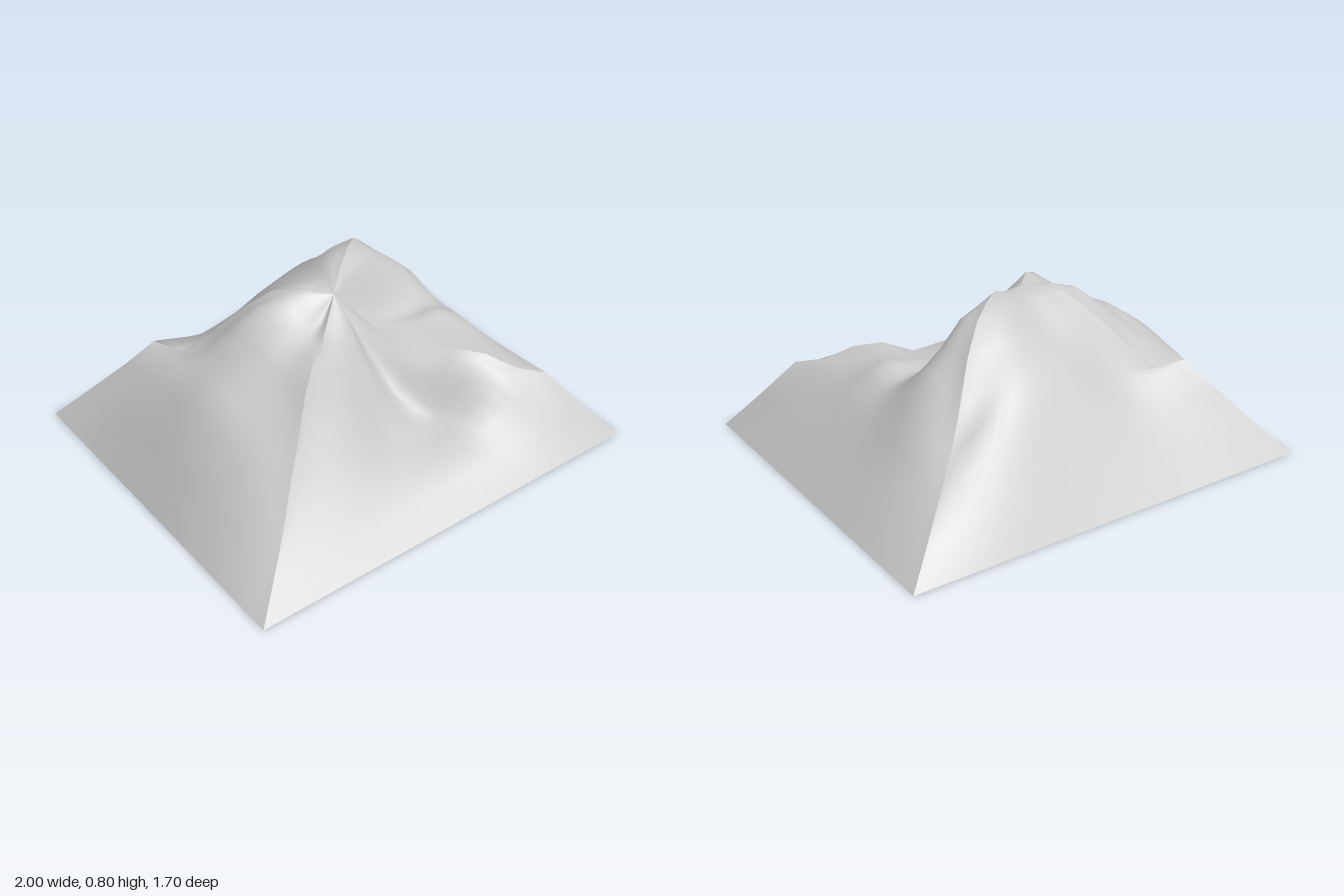
import * as THREE from 'three';

const DEPTH = 0.85;      // half depth of the footprint (half width is 1)
const APEX = 0.74;       // height at the centre where the four slopes meet
const COLUMNS = 24;
const RINGS = [0, 0.1, 0.2, 0.31, 0.42, 0.52, 0.62, 0.73, 0.86, 1];

// Height profiles from centre to rim along the four corner ridges
const frontLeft = [0.59, 0.49, 0.43, 0.465, 0.44, 0.37, 0.345, 0.175];
const frontRight = [0.68, 0.62, 0.67, 0.61, 0.47, 0.37, 0.22, 0.11];
const backRight = [0.77, 0.755, 0.65, 0.51, 0.40, 0.45, 0.31, 0.16];
const backLeft = [0.80, 0.80, 0.775, 0.67, 0.48, 0.34, 0.24, 0.12];

// Each slope runs between two ridges; at = position across it, from -1 to 1
const SLOPES = [
  {
    name: 'leftSlope', turn: 0, at: [-1, -0.5, 0, 0.25, 0.5, 1],
    profiles: [
      backLeft,
      [0.75, 0.74, 0.735, 0.66, 0.59, 0.49, 0.31, 0.16],
      [0.66, 0.55, 0.49, 0.46, 0.455, 0.43, 0.31, 0.16],
      [0.62, 0.51, 0.475, 0.47, 0.495, 0.44, 0.31, 0.16],
      [0.61, 0.50, 0.465, 0.465, 0.465, 0.41, 0.32, 0.165],
      frontLeft,
    ],
  },
  {
    name: 'frontSlope', turn: 1, at: [-1, -0.8, -0.5, 0, 0.5, 1],
    profiles: [
      frontLeft,
      [0.58, 0.45, 0.38, 0.37, 0.385, 0.375, 0.29, 0.15],
      [0.58, 0.42, 0.28, 0.21, 0.20, 0.20, 0.185, 0.125],
      [0.68, 0.56, 0.44, 0.32, 0.235, 0.19, 0.16, 0.105],
      [0.69, 0.62, 0.57, 0.50, 0.42, 0.33, 0.23, 0.11],
      frontRight,
    ],
  },
  {
    name: 'rightSlope', turn: 2, at: [-1, -0.5, 0, 0.5, 0.75, 1],
    profiles: [
      frontRight,
      [0.66, 0.64, 0.65, 0.61, 0.53, 0.47, 0.36, 0.18],
      [0.72, 0.71, 0.69, 0.635, 0.56, 0.52, 0.44, 0.23],
      [0.765, 0.765, 0.73, 0.63, 0.52, 0.46, 0.39, 0.20],
      [0.775, 0.765, 0.69, 0.57, 0.45, 0.45, 0.35, 0.18],
      backRight,
    ],
  },
  {
    name: 'backSlope', turn: 3, at: [-1, -0.5, 0, 0.5, 1],
    profiles: [
      backRight,
      [0.77, 0.75, 0.68, 0.57, 0.45, 0.375, 0.29, 0.15],
      [0.76, 0.74, 0.69, 0.63, 0.56, 0.48, 0.35, 0.18],
      [0.78, 0.785, 0.765, 0.68, 0.59, 0.53, 0.38, 0.20],
      backLeft,
    ],
  },
];

// One triangular slope: profiles blended smoothly across, creased only at the ridges
function slopeGeometry({ turn, at, profiles }) {
  const blend = new THREE.CubicInterpolant(at, profiles.flat(), RINGS.length - 2);
  const angle = turn * Math.PI / 2;
  const out = [Math.cos(angle), Math.sin(angle)];
  const across = [-out[1], out[0]];
  const positions = [];
  const index = [];
  const rows = RINGS.length;
  for (let i = 0; i <= COLUMNS; i++) {
    const s = -1 + 2 * i / COLUMNS;
    const heights = [APEX, ...blend.evaluate(s), 0];
    RINGS.forEach((r, j) => {
      positions.push(r * (out[0] + s * across[0]), heights[j], DEPTH * r * (out[1] + s * across[1]));
      if (i === COLUMNS || j === rows - 1) return;
      const a = i * rows + j;
      const b = a + rows;
      if (j > 0) index.push(a, b, b + 1);
      index.push(a, b + 1, a + 1);
    });
  }
  const geometry = new THREE.BufferGeometry();
  geometry.setAttribute('position', new THREE.Float32BufferAttribute(positions, 3));
  geometry.setIndex(index);
  geometry.computeVertexNormals();
  return geometry;
}

export function createModel() {
  const mountain = new THREE.Group();
  mountain.name = 'mountain';
  const material = new THREE.MeshStandardMaterial({ color: 0xcccccc });

  for (const slope of SLOPES) {
    const mesh = new THREE.Mesh(slopeGeometry(slope), material);
    mesh.name = slope.name;
    mountain.add(mesh);
  }

  // Flat underside
  const base = new THREE.Mesh(new THREE.PlaneGeometry(2, 2 * DEPTH).rotateX(Math.PI / 2), material);
  base.name = 'base';
  mountain.add(base);

  return mountain;
}
